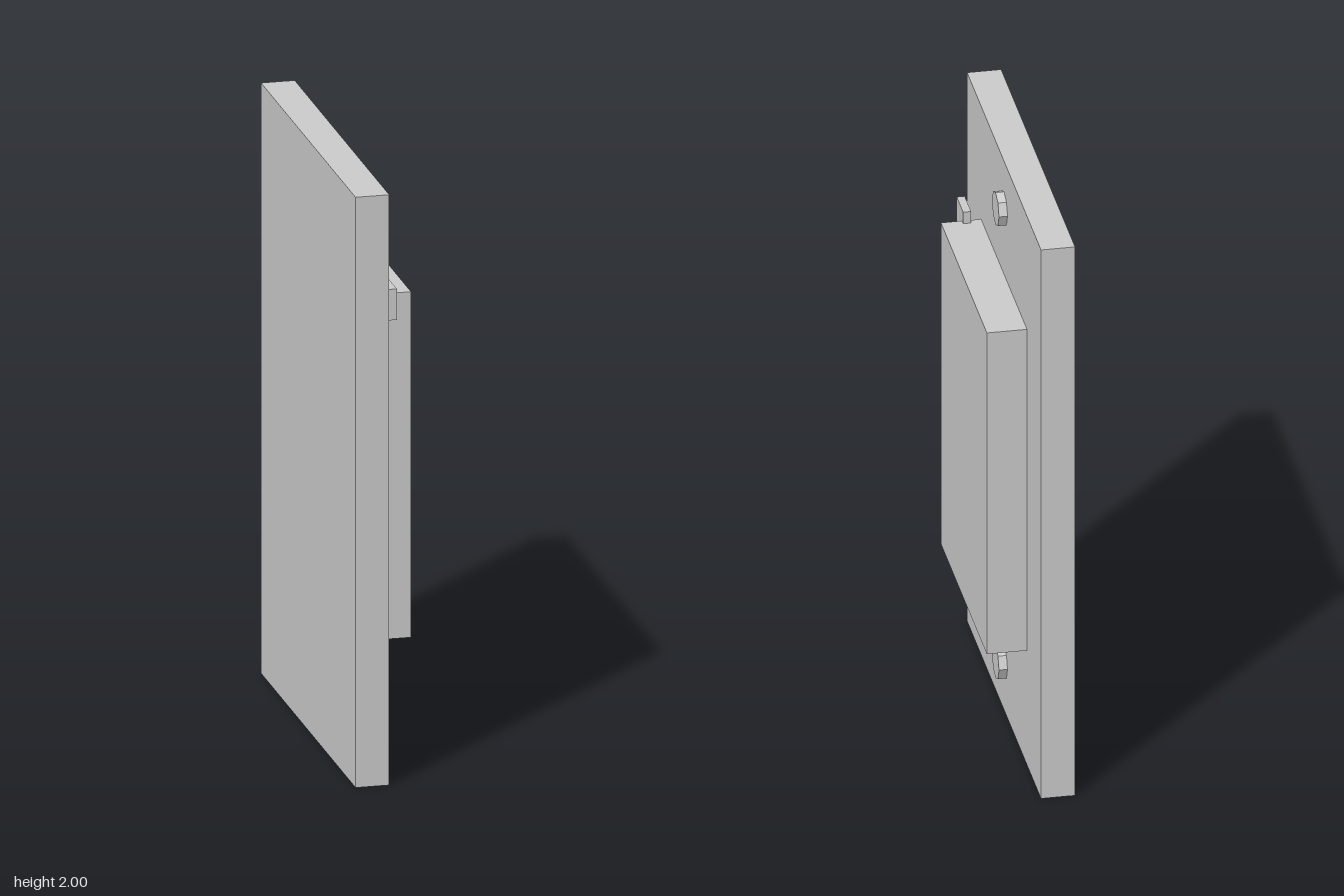
import * as THREE from 'three';

const grey = new THREE.MeshStandardMaterial({ color: 0xcccccc });
grey.name = 'light grey';

// Box given by its min and max corners
function box(name, [x0, y0, z0], [x1, y1, z1]) {
  const mesh = new THREE.Mesh(new THREE.BoxGeometry(x1 - x0, y1 - y0, z1 - z0), grey);
  mesh.position.set((x0 + x1) / 2, (y0 + y1) / 2, (z0 + z1) / 2);
  mesh.name = name;
  return mesh;
}

export function createModel() {
  const model = new THREE.Group();
  model.name = 'wallPlate';
  const face = -0.01; // front surface of the back plate

  model.add(box('backPlate', [-0.122, 0, -0.628], [face, 2, 0.628]));
  model.add(box('raisedPanel', [face, 0.417, -0.39], [0.122, 1.588, 0.39]));
  model.add(box('cornerTab', [0.027, 1.525, 0.37], [0.053, 1.63, 0.478]));

  // Eight-sided screw heads above and below the panel
  const screwGeometry = new THREE.CylinderGeometry(0.059, 0.059, 0.028, 8).toNonIndexed();
  screwGeometry.computeVertexNormals();
  screwGeometry.rotateZ(-Math.PI / 2);
  for (const [name, y] of [['upperScrew', 1.83], ['lowerScrew', 0.178]]) {
    const screw = new THREE.Mesh(screwGeometry, grey);
    screw.position.set(face + 0.014, y, 0);
    screw.name = name;
    model.add(screw);
  }
  return model;
}
